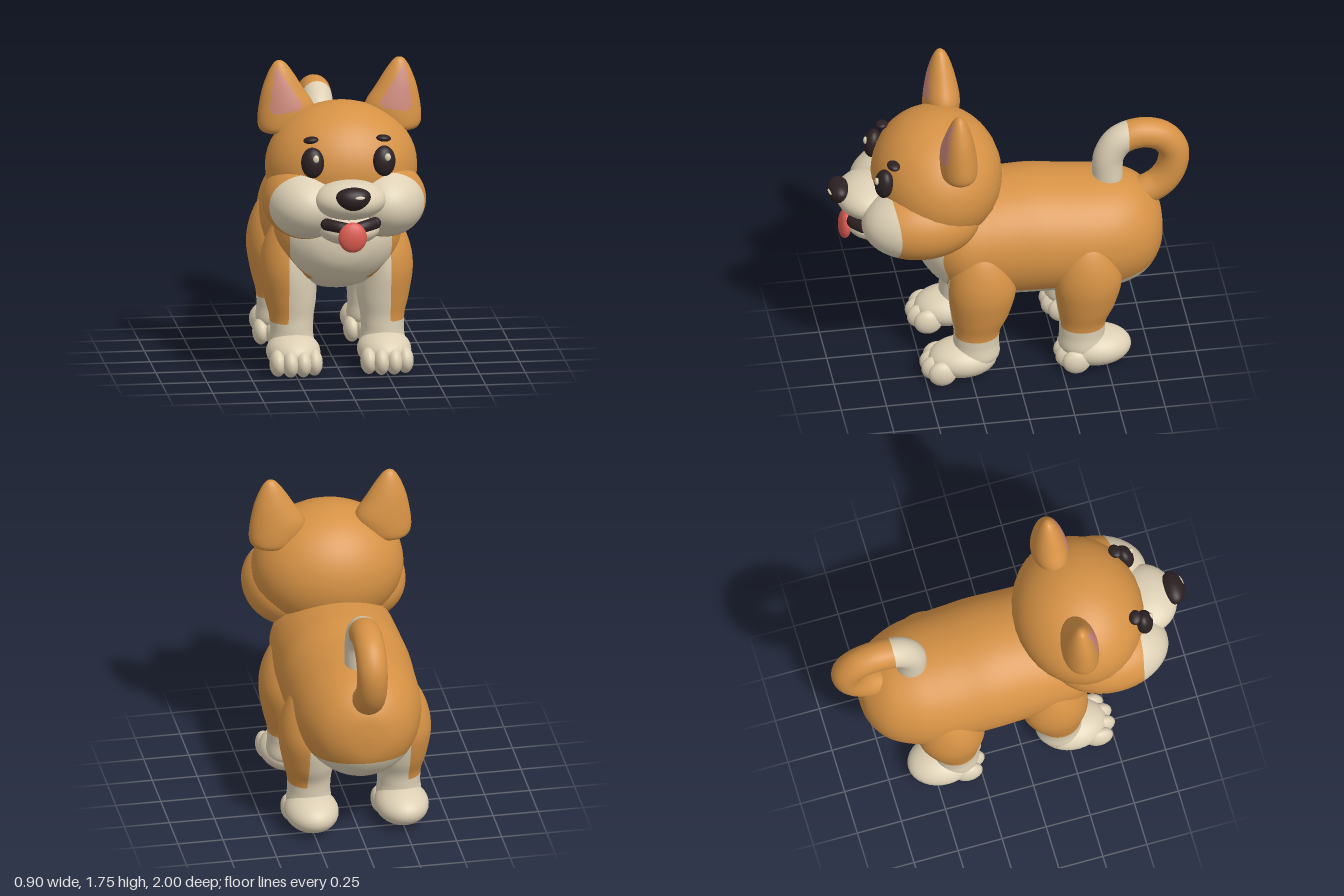
import * as THREE from 'three';
import { mergeVertices } from 'three/addons/utils/BufferGeometryUtils.js';
import { ParametricGeometry } from 'three/addons/geometries/ParametricGeometry.js';

const flat = (name, color) => Object.assign(new THREE.MeshStandardMaterial({ color }), { name });

// Smooth interpolation through rows of numbers
function sample(keys, t) {
  const f = t * (keys.length - 1);
  const i = Math.min(Math.floor(f), keys.length - 2);
  const k = f - i;
  const at = (n) => keys[THREE.MathUtils.clamp(n, 0, keys.length - 1)];
  return keys[i].map((_, c) => {
    const [a, b, d, e] = [at(i - 1)[c], at(i)[c], at(i + 1)[c], at(i + 2)[c]];
    return b + 0.5 * k * (d - a + k * (2 * a - 5 * b + 4 * d - e + k * (3 * (b - d) + e - a)));
  });
}

// Closed skin over interpolated cross-sections; place(row, cos, sin, target)
function loft(keys, place, cols = 48, rows = 56) {
  const g = new ParametricGeometry((u, v, target) => {
    const a = u * Math.PI * 2;
    place(sample(keys, v), Math.cos(a), Math.sin(a), target);
  }, cols, rows);
  g.deleteAttribute('normal');
  g.deleteAttribute('uv');
  const merged = mergeVertices(g, 1e-5);
  merged.computeVertexNormals();
  return merged;
}

function mirror(geo) {
  const g = geo.clone().scale(-1, 1, 1);
  const ix = g.index;
  for (let i = 0; i < ix.count; i += 3) {
    const b = ix.getX(i + 1);
    ix.setX(i + 1, ix.getX(i + 2));
    ix.setX(i + 2, b);
  }
  return g;
}

// Cuts a surface cleanly where field = 0; the positive side becomes group 1
function cut(geo, field) {
  const g = geo.index ? geo.toNonIndexed() : geo;
  const { position, normal } = g.attributes;
  const sides = [{ p: [], n: [] }, { p: [], n: [] }];
  for (let i = 0; i < position.count; i += 3) {
    const tri = [0, 1, 2].map((j) => {
      const p = new THREE.Vector3().fromBufferAttribute(position, i + j);
      return { p, n: new THREE.Vector3().fromBufferAttribute(normal, i + j), f: field(p.x, p.y, p.z) };
    });
    sides.forEach((side, s) => {
      const sign = s ? 1 : -1;
      const poly = [];
      tri.forEach((a, j) => {
        const b = tri[(j + 1) % 3];
        const inA = a.f * sign > 0 || (a.f === 0 && !s);
        const inB = b.f * sign > 0 || (b.f === 0 && !s);
        if (inA) poly.push(a);
        if (inA !== inB) {
          const t = a.f / (a.f - b.f);
          poly.push({ p: a.p.clone().lerp(b.p, t), n: a.n.clone().lerp(b.n, t).normalize() });
        }
      });
      for (let j = 1; j + 1 < poly.length; j++) {
        for (const v of [poly[0], poly[j], poly[j + 1]]) {
          side.p.push(...v.p.toArray());
          side.n.push(...v.n.toArray());
        }
      }
    });
  }
  const out = new THREE.BufferGeometry();
  out.setAttribute('position', new THREE.Float32BufferAttribute(sides[0].p.concat(sides[1].p), 3));
  out.setAttribute('normal', new THREE.Float32BufferAttribute(sides[0].n.concat(sides[1].n), 3));
  const first = sides[0].p.length / 3;
  out.addGroup(0, first, 0);
  out.addGroup(first, sides[1].p.length / 3, 1);
  return out;
}

export function createModel() {
  const coat = flat('orange coat', 0xd69245);
  const cream = flat('cream fur', 0xddd0b5);
  const dark = flat('dark brown', 0x2b2022);
  const red = flat('tongue red', 0xd9594f);
  const pink = flat('ear pink', 0xcf8a7c);

  const dog = new THREE.Group();
  dog.name = 'dog';
  const add = (name, geo, mat, parent = dog) => {
    const m = new THREE.Mesh(geo, mat);
    m.name = name;
    parent.add(m);
    return m;
  };
  const ellipsoid = (r, w = 32, h = 24) => new THREE.SphereGeometry(1, w, h).scale(...r);
  const ball = (name, mat, pos, r, rot = [0, 0, 0], parent = dog) => {
    const m = add(name, ellipsoid(r), mat, parent);
    m.position.set(...pos);
    m.rotation.set(...rot);
    return m;
  };

  // Body: z, bottom, top, half width
  const body = loft([
    [-0.85, 0.74, 0.74, 0], [-0.835, 0.6, 0.86, 0.12], [-0.78, 0.5, 0.95, 0.22], [-0.7, 0.43, 1.02, 0.285],
    [-0.58, 0.395, 1.06, 0.335], [-0.45, 0.39, 1.075, 0.355], [-0.3, 0.4, 1.09, 0.36], [-0.15, 0.405, 1.11, 0.365],
    [0, 0.41, 1.11, 0.36], [0.15, 0.43, 1.1, 0.355], [0.3, 0.47, 1.08, 0.34], [0.4, 0.53, 1.02, 0.28],
    [0.47, 0.61, 0.93, 0.19], [0.5, 0.68, 0.85, 0.1], [0.51, 0.76, 0.76, 0],
  ], ([z, lo, hi, w], c, s, t) => t.set(w * c, (lo + hi) / 2 + (hi - lo) / 2 * s, z), 56, 84);
  add('body', cut(body, (x, y, z) => Math.max(
    0.53 - y + Math.max(0, -0.55 - z) * 0.15,
    Math.min(z - 0.37, 0.28 - Math.abs(x)),
  )), [coat, cream]);

  // Tail: curled tube with a cream tip
  const curl = new THREE.CatmullRomCurve3([
    [0.92, -0.73], [0.98, -0.84], [1.07, -0.902], [1.19, -0.915], [1.28, -0.855],
    [1.315, -0.74], [1.28, -0.62], [1.19, -0.56], [1.04, -0.55],
  ].map(([y, z]) => new THREE.Vector3(0, y, z)));
  add('tail', cut(new THREE.TubeGeometry(curl, 64, 0.084, 24), (x, y, z) => z + 0.66), [coat, cream]);
  ball('tailTip', cream, [0, 1.045, -0.55], [0.084, 0.03, 0.084]);

  // Legs: y, x centre, z shift, x radius, z radius
  const legKeys = [
    [0.1, 0.25, 0.03, 0.0, 0.0], [0.12, 0.25, 0.03, 0.115, 0.12], [0.22, 0.25, 0.03, 0.117, 0.125],
    [0.3, 0.25, 0.025, 0.122, 0.13], [0.4, 0.255, 0.01, 0.142, 0.16], [0.55, 0.265, 0, 0.155, 0.186],
    [0.68, 0.252, 0, 0.152, 0.172], [0.8, 0.225, 0, 0.125, 0.13], [0.87, 0.2, 0, 0.07, 0.07], [0.89, 0.2, 0, 0, 0],
  ];
  const legs = [['front', 0.185, 0.29, 0.9], ['rear', -0.4, -0.45, 0.55]];
  for (const [end, legZ, footZ, creamTop] of legs) {
    const leg = loft(legKeys, ([y, x, dz, rx, rz], c, s, t) =>
      t.set(x + Math.max(rx, 0) * c, y, legZ + dz - Math.max(rz, 0) * s));
    for (const side of [1, -1]) {
      const label = end + (side > 0 ? 'Left' : 'Right');
      add(label + 'Leg', cut(side > 0 ? leg : mirror(leg), (x, y) => Math.max(
        0.27 - y, Math.min(0.28 - Math.abs(x), creamTop - y),
      )), [coat, cream]);
      // Paw with four toes
      const paw = new THREE.Group();
      paw.name = label + 'Paw';
      paw.position.set(side * 0.25, 0, footZ);
      dog.add(paw);
      ball('foot', cream, [0, 0.113, 0], [0.148, 0.104, 0.19], [0, 0, 0], paw);
      for (const dx of [-0.1, -0.035, 0.035, 0.1]) {
        const inner = Math.abs(dx) < 0.05;
        ball('toe', cream, [dx, 0.077, inner ? 0.155 : 0.125], [0.046, 0.073, 0.078], [0, 0, 0], paw);
      }
    }
  }

  // Head and muzzle
  ball('head', coat, [0, 1.178, 0.395], [0.418, 0.357, 0.357]);
  ball('muzzle', cream, [0, 1.075, 0.775], [0.2, 0.108, 0.175]);
  ball('lowerJaw', cream, [0, 0.907, 0.73], [0.17, 0.09, 0.17]);
  ball('tongue', red, [0, 0.892, 0.9], [0.078, 0.083, 0.036], [-0.1, 0, 0]);

  // Mouth line
  const lip = new THREE.CatmullRomCurve3([
    [-0.133, 0.95, 0.82], [-0.07, 0.942, 0.862], [0, 0.93, 0.875], [0.07, 0.942, 0.862], [0.133, 0.95, 0.82],
  ].map((p) => new THREE.Vector3(...p)));
  add('mouth', new THREE.TubeGeometry(lip, 32, 0.033, 16), dark);

  // Nose: wider at the top
  const nose = ellipsoid([0.085, 0.064, 0.065]);
  const np = nose.attributes.position;
  for (let i = 0; i < np.count; i++) np.setX(i, np.getX(i) * (1.1 + 3.5 * np.getY(i)));
  nose.computeVertexNormals();
  add('nose', nose, dark).position.set(0, 1.115, 0.933);
  ball('noseGlint', cream, [0.03, 1.133, 0.988], [0.028, 0.01, 0.008], [-0.2, 0.2, 0]);

  // Ear: y, inner x, outer x, z radius
  const ear = loft([
    [1.35, 0.33, 0.33, 0], [1.355, 0.24, 0.405, 0.065], [1.375, 0.2, 0.438, 0.093], [1.42, 0.16, 0.45, 0.101],
    [1.5, 0.14, 0.444, 0.097], [1.6, 0.2, 0.424, 0.078], [1.68, 0.25, 0.396, 0.055],
    [1.73, 0.286, 0.37, 0.034], [1.752, 0.31, 0.35, 0.016], [1.758, 0.33, 0.33, 0],
  ], ([y, a, b, rz], c, s, t) =>
    t.set((a + b) / 2 + Math.max(0, b - a) / 2 * c, y, 0.32 - Math.max(0, rz) * s));
  // Distance to the inside of the line from (ax, ay) to (bx, by)
  const inside = (x, y, ax, ay, bx, by) =>
    ((bx - ax) * (y - ay) - (by - ay) * (x - ax)) / Math.hypot(bx - ax, by - ay);

  for (const side of [1, -1]) {
    const label = side > 0 ? 'left' : 'right';
    add(label + 'Ear', cut(side > 0 ? ear : mirror(ear), (px, y, z) => {
      const x = Math.abs(px);
      return Math.min(
        z - 0.325,
        inside(x, y, 0.345, 1.72, 0.212, 1.52),
        inside(x, y, 0.212, 1.52, 0.235, 1.492),
        inside(x, y, 0.235, 1.492, 0.375, 1.472),
        inside(x, y, 0.375, 1.472, 0.393, 1.5),
        inside(x, y, 0.393, 1.5, 0.36, 1.715),
      );
    }), [coat, pink]);

    // Cheek: orange behind, cream in front
    const cheek = ellipsoid([0.232, 0.207, 0.325], 48, 36).translate(side * 0.217, 1.018, 0.515);
    add(label + 'Cheek', cut(cheek, (x, y, z) => z - 0.65 - 0.9 * (y - 1.02) ** 2), [coat, cream]);

    ball(label + 'MouthCorner', dark, [side * 0.133, 0.95, 0.82], [0.033, 0.033, 0.033]);
    ball(label + 'Eye', dark, [side * 0.197, 1.272, 0.715], [0.063, 0.084, 0.048], [-0.12, side * 0.25, 0]);
    ball(label + 'EyeGlint', cream, [side * 0.197 + 0.014, 1.302, 0.757], [0.017, 0.022, 0.012]);
    ball(label + 'Brow', dark, [side * 0.2, 1.387, 0.663], [0.042, 0.019, 0.034], [0, side * 0.3, side * -0.12]);
  }
  return dog;
}
